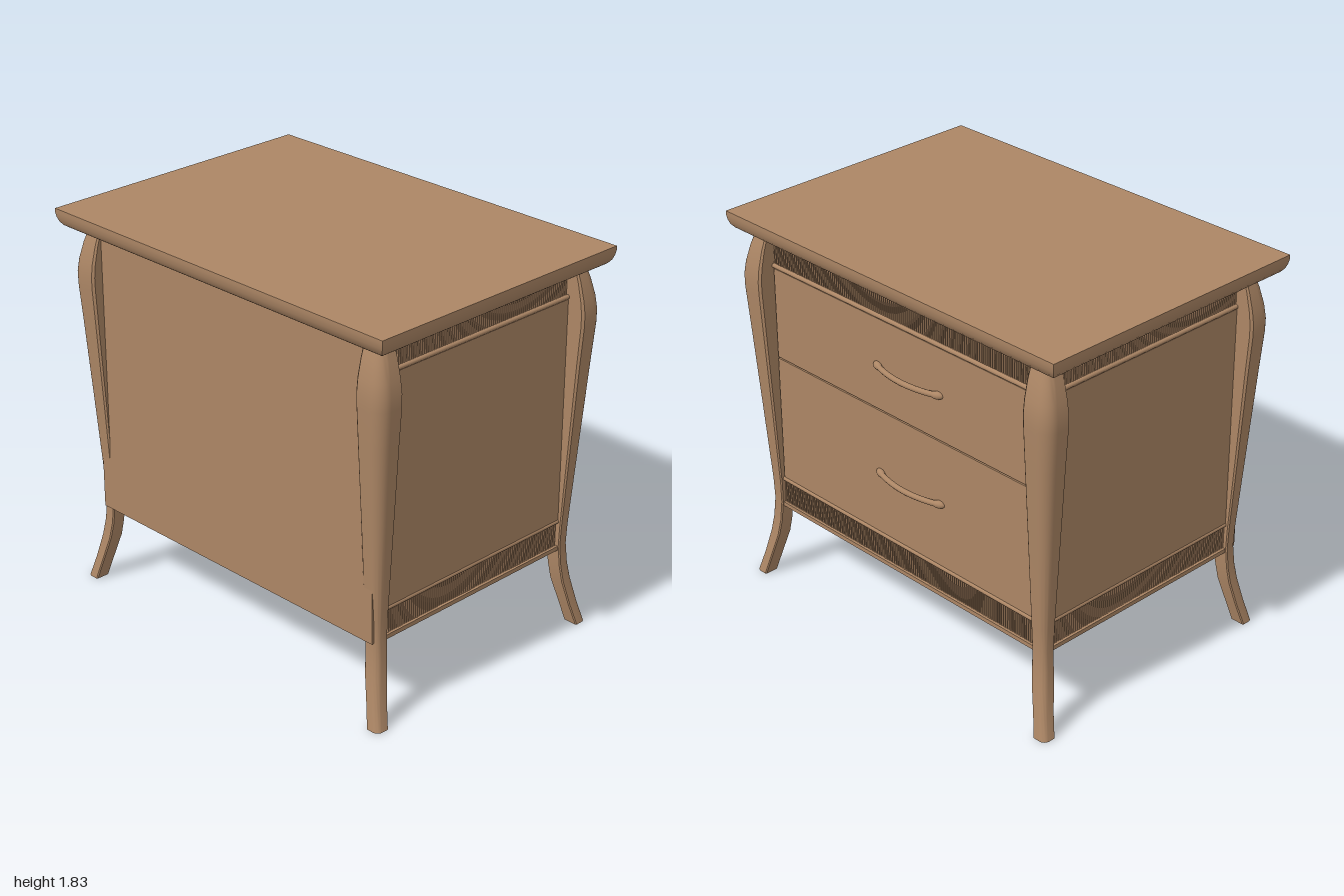
import * as THREE from 'three';
import { toCreasedNormals } from 'three/addons/utils/BufferGeometryUtils.js';

const wood = new THREE.MeshStandardMaterial({ color: 0xac8665 });
wood.name = 'warm brown wood';

function add(parent, name, geometry, x = 0, y = 0, z = 0) {
  const mesh = new THREE.Mesh(geometry, wood);
  mesh.name = name;
  mesh.position.set(x, y, z);
  parent.add(mesh);
  return mesh;
}

// Stacks a unit section (-1..1, counter-clockwise in x/z) through levels
// [y, xInner, xOuter, zInner, zOuter]; sx and sz mirror it to any corner.
function loft(section, levels, sx = 1, sz = 1, crease = 0.6) {
  const n = section.length, pos = [], idx = [];
  const flip = sx * sz < 0;
  const tri = (a, b, c) => (flip ? idx.push(a, c, b) : idx.push(a, b, c));
  for (const [y, x0, x1, z0, z1] of levels) {
    for (const [u, v] of section) {
      pos.push(sx * (x0 + (x1 - x0) * (u + 1) / 2), y, sz * (z0 + (z1 - z0) * (v + 1) / 2));
    }
  }
  for (let l = 0; l < levels.length - 1; l++) {
    for (let i = 0; i < n; i++) {
      const a = l * n + i, b = l * n + (i + 1) % n;
      tri(a, a + n, b);
      tri(b, a + n, b + n);
    }
  }
  const top = (levels.length - 1) * n;
  for (let i = 1; i < n - 1; i++) {
    tri(0, i, i + 1);
    tri(top, top + i + 1, top + i);
  }
  const g = new THREE.BufferGeometry();
  g.setAttribute('position', new THREE.Float32BufferAttribute(pos, 3));
  g.setIndex(idx);
  return toCreasedNormals(g, crease);
}

// Row of half-round reeds, standing upright and facing +z
function reedStrip(width, height) {
  const count = Math.round(width / 0.0125), pitch = width / count;
  const shape = new THREE.Shape();
  shape.moveTo(-width / 2, -0.01);
  shape.lineTo(width / 2, -0.01);
  for (let i = count - 1; i >= 0; i--) {
    const cx = -width / 2 + (i + 0.5) * pitch;
    for (let k = 0; k <= 4; k++) {
      const a = Math.PI * k / 4;
      shape.lineTo(cx + Math.cos(a) * pitch * 0.47, 0.003 + Math.sin(a) * 0.011);
    }
  }
  const g = new THREE.ExtrudeGeometry(shape, { depth: height, bevelEnabled: false });
  g.rotateX(Math.PI / 2);
  return g;
}

// Bands of reeds and beads on one face, facing +z
function trimmedFace(name, width) {
  const face = new THREE.Group();
  face.name = name;
  add(face, 'lowerReeds', reedStrip(width, 0.115), 0, 0.513, 0);
  add(face, 'upperReeds', reedStrip(width, 0.115), 0, 1.724, 0);
  for (const y of [0.521, 1.6, 1.731]) {
    const bead = new THREE.CylinderGeometry(0.011, 0.011, width, 12);
    bead.rotateZ(Math.PI / 2);
    add(face, 'bead', bead, 0, y, 0.014);
  }
  add(face, 'bottomLip', new THREE.BoxGeometry(width, 0.02, 0.04), 0, 0.388, 0.005);
  add(face, 'topLip', new THREE.BoxGeometry(width, 0.012, 0.03), 0, 1.741, 0);
  return face;
}

// Bowed pull with swollen ends, facing +z
function handle() {
  const g = new THREE.Group();
  g.name = 'handle';
  const curve = new THREE.CatmullRomCurve3([
    [-0.198, 0.02], [-0.17, 0.032], [-0.09, 0.052], [0, 0.06], [0.09, 0.052], [0.17, 0.032], [0.198, 0.02],
  ].map(([x, z]) => new THREE.Vector3(x, 0, z)));
  add(g, 'handleBar', new THREE.TubeGeometry(curve, 32, 0.013, 10));
  for (const s of [-1, 1]) {
    const end = new THREE.SphereGeometry(1, 14, 10);
    end.scale(0.032, 0.018, 0.017);
    end.rotateY(s * 0.35);
    add(g, 'handleEnd', end, s * 0.184, 0, 0.026);
  }
  return g;
}

export function createModel() {
  const model = new THREE.Group();
  model.name = 'nightstand';

  // Table top with a rounded under-edge
  const square = [[-1, -1], [1, -1], [1, 1], [-1, 1]];
  const topLevels = [[1.745, 0.035], [1.752, 0.025], [1.768, 0.012], [1.79, 0.004], [1.812, 0], [1.83, 0]]
    .map(([y, d]) => [y, -0.703 + d, 0.703 - d, -1 + d, 1 - d]);
  add(model, 'tableTop', loft(square, topLevels));

  // Carcass and flat back panel
  add(model, 'carcass', new THREE.BoxGeometry(1.19, 1.365, 1.7), -0.005, 1.0625, 0);
  add(model, 'backPanel', new THREE.BoxGeometry(0.02, 1.365, 1.73), -0.598, 1.0625, 0);

  // Plain panelled ends
  for (const s of [1, -1]) {
    const end = trimmedFace(s > 0 ? 'frontEnd' : 'rearEnd', 1.11);
    add(end, 'endPanel', new THREE.BoxGeometry(1.11, 1.06, 0.04), 0, 1.06, 0);
    end.position.set(0.015, 0, s * 0.85);
    if (s < 0) end.rotation.y = Math.PI;
    model.add(end);
  }

  // Drawer side
  const side = trimmedFace('drawerSide', 1.64);
  for (const [y, h, hy] of [[0.841, 0.614, 0.843], [1.372, 0.434, 1.369]]) {
    add(side, 'drawerFront', new THREE.BoxGeometry(1.606, h, 0.04), 0, y, 0);
    const pull = handle();
    pull.position.set(0.06, hy, 0);
    side.add(pull);
  }
  for (const s of [-1, 1]) {
    add(side, 'drawerStile', new THREE.BoxGeometry(0.03, 1.08, 0.04), s * 0.826, 1.06, 0);
  }
  side.rotation.y = Math.PI / 2;
  side.position.x = 0.59;
  model.add(side);

  // Curved legs: square inside, rounded at the outer corner
  const section = [[-1, -1], [0.85, -1], [1, -0.85]];
  for (let k = 0; k <= 8; k++) {
    const a = Math.PI / 2 * k / 8;
    section.push([0.1 + 0.9 * Math.cos(a), 0.1 + 0.9 * Math.sin(a)]);
  }
  section.push([-0.85, 1], [-1, 0.85]);
  const legLevels = [
    [0, 0.607, 0.673, 0.887, 0.955], [0.1, 0.585, 0.652, 0.862, 0.927], [0.22, 0.56, 0.629, 0.83, 0.902],
    [0.3, 0.551, 0.617, 0.819, 0.891], [0.4, 0.546, 0.61, 0.813, 0.884], [0.5, 0.546, 0.613, 0.81, 0.888],
    [0.9, 0.546, 0.637, 0.81, 0.915], [1.3, 0.546, 0.662, 0.81, 0.942], [1.48, 0.546, 0.673, 0.81, 0.956],
    [1.54, 0.546, 0.674, 0.81, 0.956], [1.6, 0.546, 0.667, 0.81, 0.947], [1.68, 0.546, 0.648, 0.81, 0.927],
    [1.75, 0.546, 0.624, 0.81, 0.903],
  ];
  for (const sx of [-1, 1]) {
    for (const sz of [-1, 1]) {
      add(model, 'leg', loft(section, legLevels, sx, sz), 0.013, 0, 0);
    }
  }
  return model;
}
